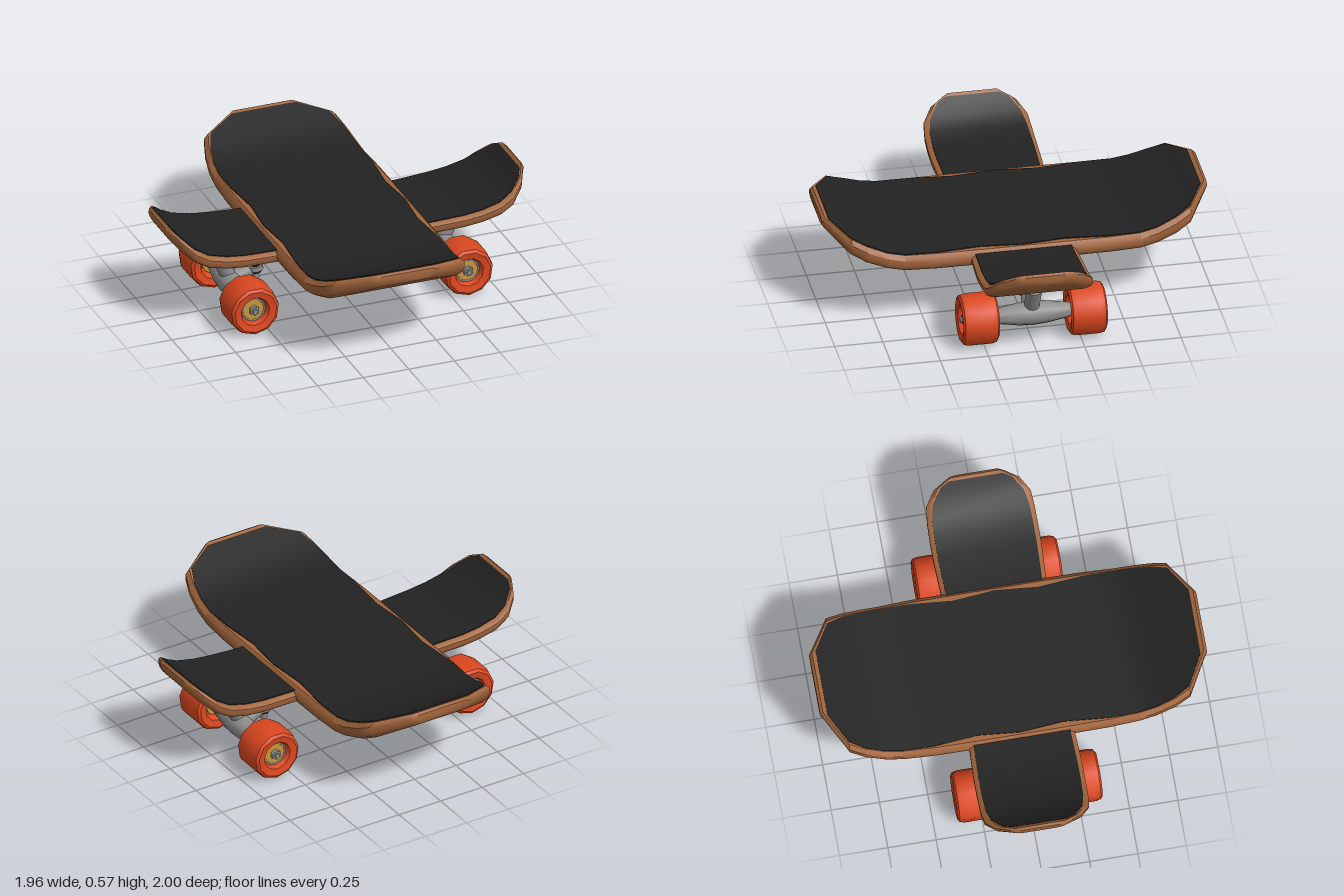
import * as THREE from 'three';
import { toCreasedNormals } from 'three/addons/utils/BufferGeometryUtils.js';

const mat = (name, color, side = THREE.FrontSide) => {
  const m = new THREE.MeshStandardMaterial({ color, side });
  m.name = name;
  return m;
};

function add(parent, name, geometry, material) {
  const mesh = new THREE.Mesh(geometry, material);
  mesh.name = name;
  parent.add(mesh);
  return mesh;
}

// Closed skin over rings of [x, y, z] points, ordered along +z, each ring anticlockwise seen from +z
function loft(rings, crease) {
  const n = rings[0].length, index = [];
  for (let i = 0; i < rings.length - 1; i++) {
    for (let j = 0; j < n; j++) {
      const a = i * n + j, b = i * n + (j + 1) % n;
      index.push(a, b, b + n, a, b + n, a + n);
    }
  }
  const last = (rings.length - 1) * n;
  for (let j = 1; j < n - 1; j++) {
    index.push(0, j + 1, j, last, last + j, last + j + 1);
  }
  const g = new THREE.BufferGeometry();
  g.setAttribute('position', new THREE.Float32BufferAttribute(rings.flat(2), 3));
  g.setIndex(index);
  return toCreasedNormals(g, crease);
}

// Half a list of stations, mirrored to run from the tail to the nose
const mirrored = (half) => [
  ...half.slice(1).reverse().map(([s, ...rest]) => [-s, ...rest]),
  ...half,
];

// station: [distance from middle, half width, bottom, top, half width of grip]
function makeDeck(name, stations, gripEnd, wood, grip) {
  const deck = new THREE.Group();
  deck.name = name;

  const woodRings = mirrored(stations).map(([s, w, b, t]) => {
    const h = t - b;
    const right = [[w - 0.045, b], [w - 0.012, b + h * 0.16], [w, b + h * 0.4],
      [w, t - h * 0.25], [w - 0.022, t]];
    const left = right.map(([x, y]) => [-x, y]).reverse();
    return [...right, ...left].map(([x, y]) => [x, y, s]);
  });
  add(deck, name + 'Wood', loft(woodRings, 0.75), wood);

  // Grip sheet lies just above the wood and stops short of its rim
  const gripHalf = stations.filter((p) => p[0] < gripEnd[0]).map(([s, , , t, w]) => [s, w, t]);
  gripHalf.push(gripEnd);
  const gripRings = mirrored(gripHalf).map(([s, w, t]) => [
    [-w, t - 0.003, s], [w, t - 0.003, s], [w, t + 0.005, s], [-w, t + 0.005, s],
  ]);
  add(deck, name + 'Grip', loft(gripRings, 0.5), grip);
  return deck;
}

// Cylinder between two points
function rod(a, b, rA, rB, sides = 12) {
  const from = new THREE.Vector3(...a), to = new THREE.Vector3(...b);
  const dir = to.clone().sub(from);
  const g = new THREE.CylinderGeometry(rB, rA, dir.length(), sides);
  g.applyQuaternion(new THREE.Quaternion().setFromUnitVectors(
    new THREE.Vector3(0, 1, 0), dir.clone().normalize()));
  const mid = from.add(to).multiplyScalar(0.5);
  return g.translate(mid.x, mid.y, mid.z);
}

// Lathe turned so that its axis lies along z
const turned = (points, sides) => toCreasedNormals(
  new THREE.LatheGeometry(points.map((p) => new THREE.Vector2(...p)), sides)
    .rotateX(Math.PI / 2), 0.7);

// One truck with its two wheels, on the +x side
function makeTruck(m) {
  const truck = new THREE.Group();
  truck.name = 'truck';
  const ax = 0.587, ay = 0.145;

  // Wedge-shaped base plate
  const plate = new THREE.Shape([[0.36, 0.345], [0.37, 0.288], [0.48, 0.285], [0.67, 0.315],
    [0.68, 0.345]].map((p) => new THREE.Vector2(...p)));
  const plateGeo = new THREE.ExtrudeGeometry(plate, { depth: 0.13, bevelEnabled: false });
  add(truck, 'basePlate', plateGeo.translate(0, 0, -0.065), m.metal);

  // Bushing, kingpin and pivot
  add(truck, 'upperBushing', rod([0.45, 0.29, 0], [0.447, 0.235, 0], 0.045, 0.035), m.rubber);
  add(truck, 'lowerBushing', rod([0.447, 0.24, 0], [0.443, 0.175, 0], 0.03, 0.034), m.rubber);
  add(truck, 'kingpin', rod([0.443, 0.18, 0], [0.438, 0.138, 0], 0.02, 0.02, 6), m.metal);
  add(truck, 'pivotArm', rod([0.655, 0.325, 0], [0.575, 0.15, 0], 0.044, 0.038), m.metal);
  add(truck, 'bushingSeat', rod([0.446, 0.215, 0], [0.444, 0.19, 0], 0.045, 0.045), m.metal);
  add(truck, 'hangerYoke', rod([0.445, 0.2, 0], [0.575, 0.155, 0], 0.03, 0.045), m.metal);

  // Axle housing, swollen in the middle
  const hanger = turned([[0, -0.2], [0.036, -0.2], [0.042, -0.17], [0.058, -0.07], [0.062, 0],
    [0.058, 0.07], [0.042, 0.17], [0.036, 0.2], [0, 0.2]], 14);
  add(truck, 'hanger', hanger.translate(ax, ay, 0), m.metal);

  for (const side of [1, -1]) {
    const wheel = new THREE.Group();
    wheel.name = 'wheel';
    wheel.position.set(ax, ay, side * 0.28);
    if (side < 0) wheel.rotation.y = Math.PI;
    // Tyre dished on both faces
    add(wheel, 'tyre', turned([[0.062, -0.055], [0.078, -0.088], [0.115, -0.095], [0.13, -0.085],
      [0.136, -0.06], [0.136, 0.06], [0.13, 0.085], [0.115, 0.095], [0.078, 0.088],
      [0.062, 0.055], [0.062, -0.055]], 11), m.tyre);
    add(wheel, 'bearing', turned([[0, -0.06], [0.056, -0.06], [0.056, 0.062], [0, 0.062]], 14), m.brass);
    add(wheel, 'bearingRing', new THREE.TorusGeometry(0.06, 0.006, 6, 16).translate(0, 0, 0.06), m.metal);
    add(wheel, 'axleNut', rod([0, 0, 0.05], [0, 0, 0.082], 0.028, 0.026, 6), m.metal);
    add(wheel, 'axleEnd', rod([0, 0, 0.05], [0, 0, 0.092], 0.014, 0.014, 8), m.metal);
    truck.add(wheel);
  }
  return truck;
}

export function createModel() {
  const model = new THREE.Group();
  model.name = 'crossedSkateboard';
  const m = {
    wood: mat('wood', 0xa2653c),
    grip: mat('grip', 0x222222),
    tyre: mat('orangeTyre', 0xdb4720),
    metal: mat('metal', 0x8e8e8e),
    brass: mat('brass', 0xc8963a),
    rubber: mat('blackRubber', 0x1c1c1c),
  };

  // Wide deck running front to back
  const wide = makeDeck('wideDeck', [
    [0, 0.422, 0.335, 0.43, 0.39], [0.22, 0.422, 0.335, 0.43, 0.37],
    [0.45, 0.42, 0.335, 0.43, 0.39], [0.61, 0.412, 0.337, 0.432, 0.388],
    [0.7, 0.405, 0.355, 0.45, 0.38], [0.8, 0.388, 0.387, 0.488, 0.36],
    [0.88, 0.362, 0.43, 0.525, 0.325], [0.985, 0.185, 0.5, 0.573, 0.15],
    [1, 0.165, 0.52, 0.565, 0.13],
  ], [0.965, 0.175, 0.564], m.wood, m.grip);
  wide.position.x = -0.01;
  model.add(wide);

  // Narrow deck running side to side beneath it
  const narrow = makeDeck('narrowDeck', [
    [0, 0.27, 0.342, 0.41, 0.25], [0.42, 0.272, 0.342, 0.41, 0.25],
    [0.6, 0.28, 0.348, 0.418, 0.256], [0.7, 0.28, 0.358, 0.43, 0.256],
    [0.8, 0.278, 0.38, 0.455, 0.252], [0.87, 0.27, 0.42, 0.495, 0.235],
    [0.93, 0.222, 0.475, 0.55, 0.185], [0.965, 0.15, 0.515, 0.584, 0.12],
    [0.978, 0.125, 0.535, 0.575, 0.1],
  ], [0.95, 0.14, 0.569], m.wood, m.grip);
  narrow.rotation.y = Math.PI / 2;
  model.add(narrow);

  // Trucks at both ends of the narrow deck
  for (const turn of [0, Math.PI]) {
    const truck = makeTruck(m);
    truck.name = turn ? 'rightTruck' : 'leftTruck';
    truck.rotation.y = turn;
    truck.position.z = -0.005;
    model.add(truck);
  }
  return model;
}
